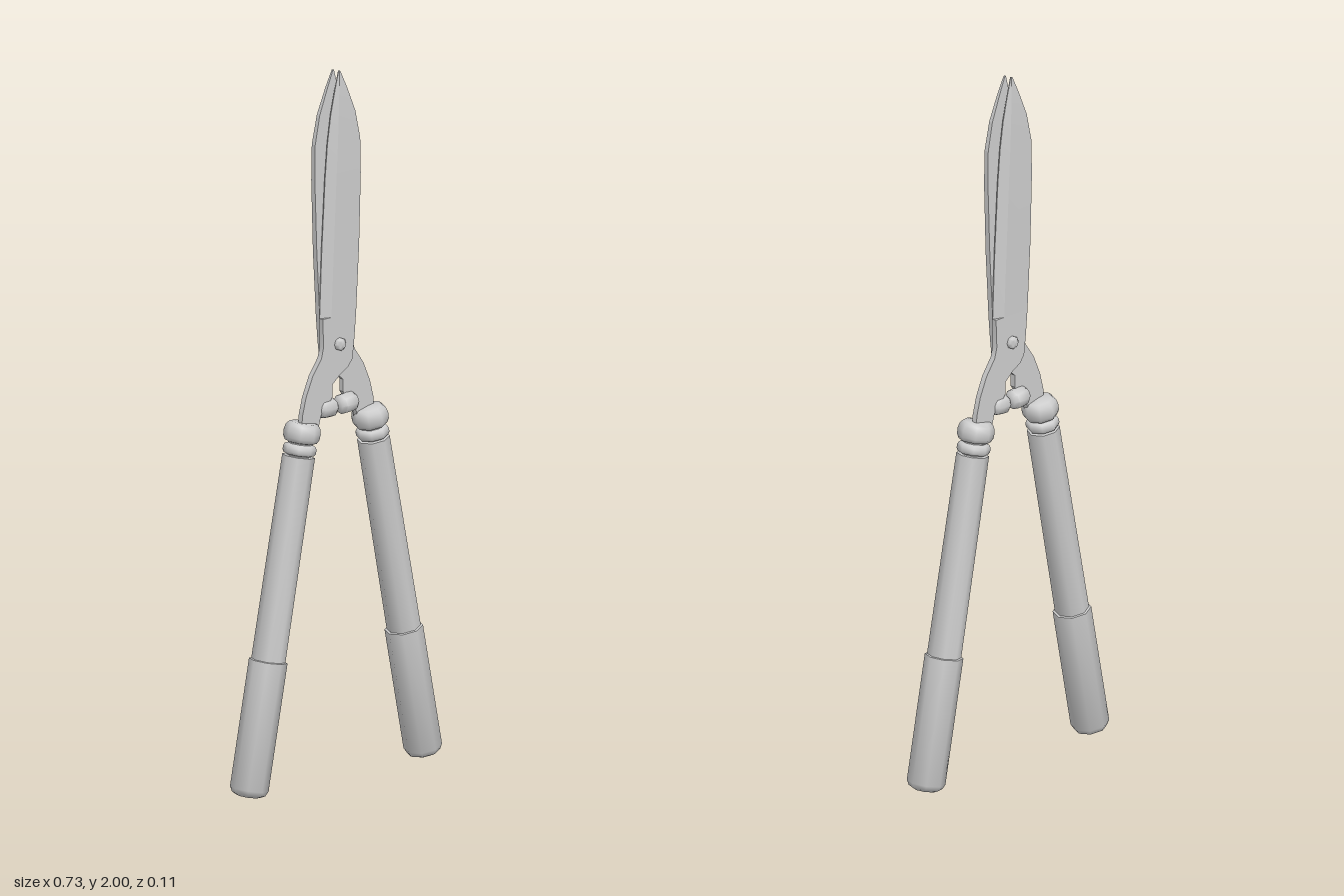
import * as THREE from 'three';
import { toCreasedNormals } from 'three/addons/utils/BufferGeometryUtils.js';

const grey = new THREE.MeshStandardMaterial({ color: 0xcccccc });
const THICK = 0.016, GAP = 0.001;

function add(parent, name, geometry) {
  const mesh = new THREE.Mesh(geometry, grey);
  mesh.name = name;
  parent.add(mesh);
  return mesh;
}

// Turned part with eight sides, smooth around and creased at hard steps
function turned(profile) {
  const points = profile.map(([r, y]) => new THREE.Vector2(r, y));
  return toCreasedNormals(new THREE.LatheGeometry(points, 8), 0.9);
}

// Blade lofted from rows of [height, cutting edge x, spine x, outward bow, thickness]
function bladeGeometry() {
  const rows = [
    [1.31, -0.063, 0.058, 0, THICK], [1.5, -0.056, 0.068, 0.001, THICK],
    [1.7, -0.045, 0.074, 0.002, 0.015], [1.8, -0.037, 0.072, 0.003, 0.014],
    [1.88, -0.026, 0.055, 0.004, 0.012], [1.95, -0.011, 0.027, 0.005, 0.009],
    [2.0, 0.001, 0.005, 0.006, 0.005],
  ];
  const pos = [], index = [], n = 5;
  for (const [y, edge, spine, bow, thick] of rows) {
    const z0 = GAP + bow, z1 = z0 + thick;
    const bevel = edge + (spine - edge) * 0.26;
    // inner edge, inner spine, outer spine, bevel line, thin cutting edge
    pos.push(edge, y, z0, spine, y, z0, spine, y, z1, bevel, y, z1, edge, y, z0 + 0.003);
  }
  for (let i = 0; i < rows.length - 1; i++) {
    for (let j = 0; j < n; j++) {
      const a = i * n + j, b = i * n + (j + 1) % n;
      index.push(a, b + n, b, a, a + n, b + n);
    }
  }
  const top = (rows.length - 1) * n;
  for (let j = 1; j < n - 1; j++) {
    index.push(0, j, j + 1, top, top + j + 1, top + j);
  }
  const g = new THREE.BufferGeometry();
  g.setAttribute('position', new THREE.Float32BufferAttribute(pos, 3));
  g.setIndex(index);
  return toCreasedNormals(g, 0.15);
}

// Pivot plate that runs down into the curved tang
function tangGeometry() {
  const outline = [
    [-0.14, 1.0], [-0.137, 1.05], [-0.124, 1.1], [-0.1, 1.155], [-0.068, 1.2], [-0.06, 1.23],
    [-0.063, 1.31], [0.058, 1.31], [0.052, 1.24], [0.045, 1.18], [0.03, 1.16],
    [0.0, 1.143], [-0.027, 1.12], [-0.027, 1.085], [-0.036, 1.073], [-0.062, 1.06],
    [-0.072, 1.03], [-0.08, 1.0],
  ];
  const shape = new THREE.Shape(outline.map(([x, y]) => new THREE.Vector2(x, y)));
  const g = new THREE.ExtrudeGeometry(shape, { depth: THICK, bevelEnabled: false });
  g.translate(0, 0, GAP);
  return toCreasedNormals(g, 0.5);
}

function createHalf(name) {
  const half = new THREE.Group();
  half.name = name;

  add(half, 'blade', bladeGeometry());
  add(half, 'tang', tangGeometry());

  // Rubber bumper lying between the tangs
  const bumper = add(half, 'bumper', turned([
    [0, 0], [0.02, 0.001], [0.027, 0.01], [0.029, 0.028], [0.028, 0.05], [0.02, 0.061], [0, 0.064],
  ]));
  bumper.rotation.z = -Math.PI / 2 - 0.08;
  bumper.position.set(-0.068, 1.055, 0);

  // Handle leaning in towards the pivot
  const handle = new THREE.Group();
  handle.name = 'handle';
  handle.position.set(-0.319, 0.008, 0);
  handle.rotation.z = -0.195;
  half.add(handle);
  add(handle, 'grip', turned([
    [0, 0], [0.034, 0], [0.046, 0.006], [0.053, 0.02], [0.053, 0.376], [0.044, 0.378],
  ]));
  add(handle, 'shaft', turned([[0.047, 0.36], [0.045, 0.945], [0.034, 0.946], [0.034, 1.0]]));
  add(handle, 'ring', turned([
    [0.034, 0.948], [0.042, 0.95], [0.046, 0.957], [0.046, 0.968], [0.042, 0.976], [0.034, 0.979],
  ]));
  add(handle, 'collar', turned([
    [0.034, 0.982], [0.044, 0.985], [0.05, 0.996], [0.051, 1.013],
    [0.047, 1.029], [0.038, 1.038], [0, 1.04],
  ]));

  // Pivot bolt head
  const head = add(half, 'boltHead', turned([
    [0, 0], [0.018, 0], [0.018, 0.009], [0.012, 0.015], [0, 0.016],
  ]));
  head.rotation.x = Math.PI / 2;
  head.position.set(-0.003, 1.23, GAP + THICK - 0.001);
  return half;
}

export function createModel() {
  const model = new THREE.Group();
  model.name = 'hedgeShears';
  const front = createHalf('frontHalf');
  // The second half is the first turned around the upright axis
  const back = createHalf('backHalf');
  back.rotation.y = Math.PI;
  model.add(front, back);

  // Pin through both halves
  const pin = add(model, 'pivotPin', new THREE.CylinderGeometry(0.01, 0.01, 0.034, 8));
  pin.rotation.x = Math.PI / 2;
  pin.position.y = 1.23;
  return model;
}
